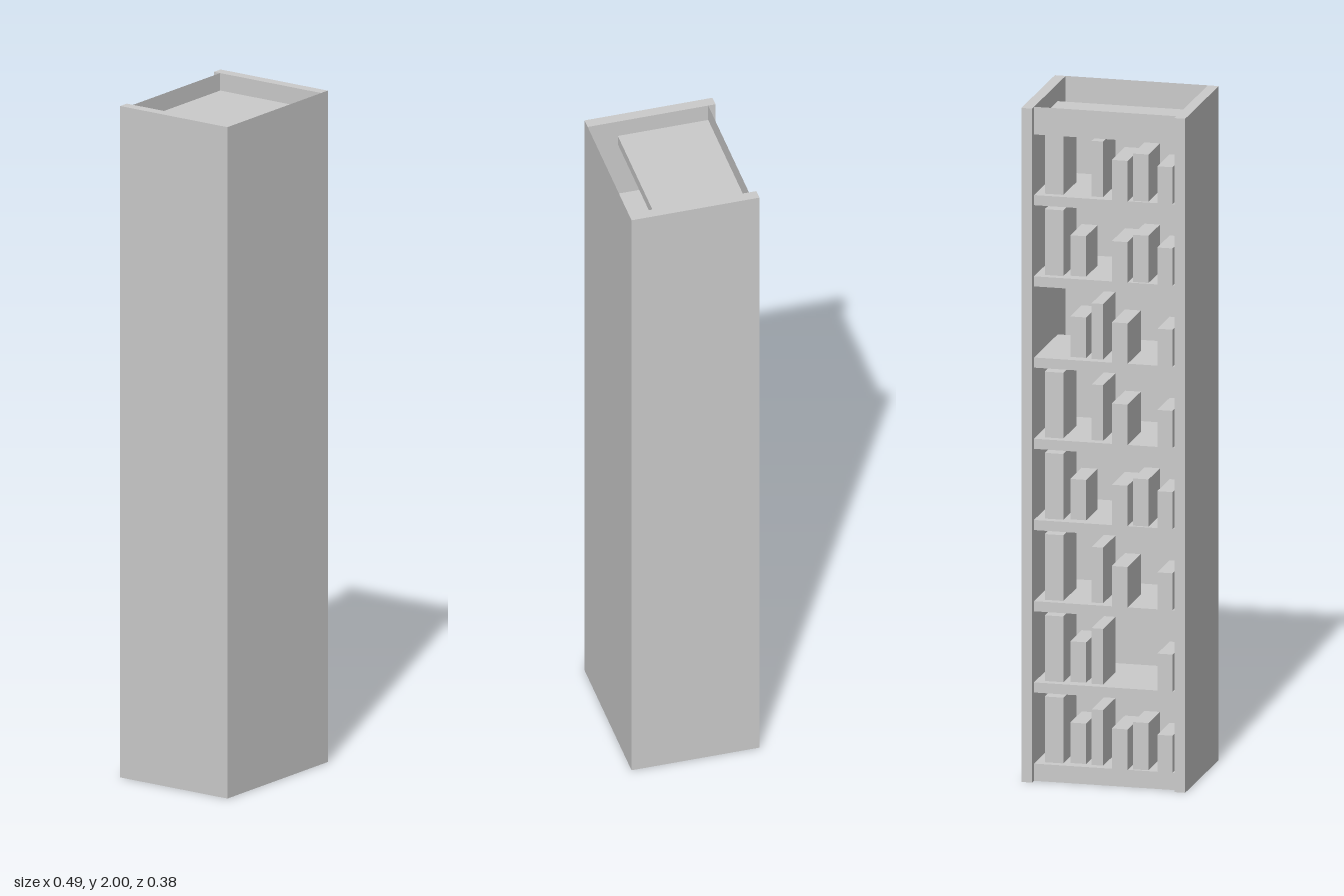
import * as THREE from 'three';

export function createModel() {
  const group = new THREE.Group();
  const mat = new THREE.MeshStandardMaterial({ color: 0xcccccc, side: THREE.DoubleSide });

  // Box given by its min and max along each axis
  function box(name, x0, x1, y0, y1, z0, z1) {
    const mesh = new THREE.Mesh(new THREE.BoxGeometry(x1 - x0, y1 - y0, z1 - z0), mat);
    mesh.position.set((x0 + x1) / 2, (y0 + y1) / 2, (z0 + z1) / 2);
    mesh.name = name;
    group.add(mesh);
  }

  // Thin upright sheet facing z
  function sheet(name, width, y0, y1, z) {
    const mesh = new THREE.Mesh(new THREE.PlaneGeometry(width, y1 - y0), mat);
    mesh.position.set(0, (y0 + y1) / 2, z);
    mesh.name = name;
    group.add(mesh);
  }

  const outer = 0.243, inner = 0.211, back = -0.17, shelfEnd = 0.1;

  // Side panels and the closed front sheet
  box('leftSide', inner, outer, 0, 2, -0.192, 0.19);
  box('rightSide', -outer, -inner, 0, 2, -0.192, 0.19);
  sheet('frontPanel', outer * 2, 0, 2, 0.19);

  // Shelves, with kick rail below and top rail above on the open side
  const floor = 0.051, pitch = 0.241, thick = 0.03, rows = 8;
  for (let i = 0; i < rows; i++) {
    const y = floor + i * pitch;
    box('shelf', -inner, inner, y - thick, y, back, shelfEnd);
  }
  box('topShelf', -inner, inner, 1.918, 1.948, back, shelfEnd);
  sheet('topRail', inner * 2, 1.948, 2, back);
  sheet('kickRail', inner * 2, 0, floor, back);

  // Book kinds: x min, x max, height, open-side z, depth
  const books = {
    a: [0.13, 0.185, 0.195, -0.147, 0.15],
    b: [0.065, 0.112, 0.12, -0.137, 0.13],
    c: [0.013, 0.047, 0.165, -0.143, 0.14],
    d: [-0.067, -0.02, 0.12, -0.171, 0.15],
    e: [-0.126, -0.08, 0.14, -0.16, 0.13],
    f: [-0.2, -0.155, 0.11, -0.171, 0.14],
  };
  // Which books stand on each shelf, bottom to top
  const layout = ['abcdef', 'abcf', 'acdf', 'abdef', 'acdf', 'bcdf', 'abdef', 'acdef'];
  layout.forEach((row, i) => {
    const y = floor + i * pitch;
    for (const k of row) {
      const [x0, x1, h, z, depth] = books[k];
      box('book', x0, x1, y, y + h, z, z + depth);
    }
  });

  return group;
}
